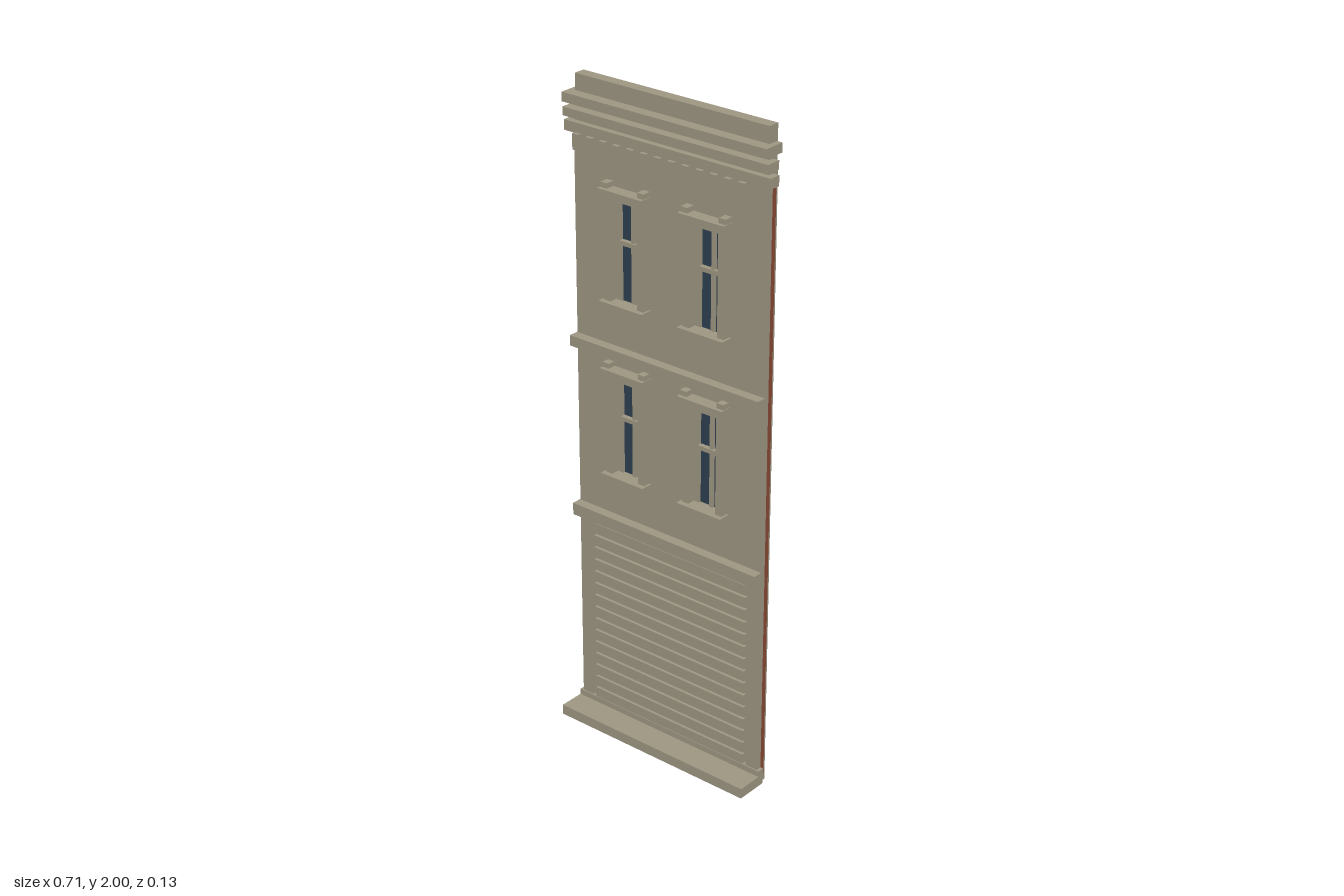
import * as THREE from 'three';

const mat = (name, color) => {
  const m = new THREE.MeshStandardMaterial({ color });
  m.name = name;
  return m;
};

export function createModel() {
  const stone = mat('stone', 0xa09884);
  const glass = mat('glass', 0x2e3f50);
  const brick = mat('brick', 0x8a4a35);
  const black = mat('black backing', 0x222222);
  const grey = mat('grey backing', 0x606060);

  const model = new THREE.Group();
  model.name = 'buildingFacade';

  // Box given by its limits on each axis
  const box = (parent, name, material, x0, x1, y0, y1, z0, z1) => {
    const mesh = new THREE.Mesh(new THREE.BoxGeometry(x1 - x0, y1 - y0, z1 - z0), material);
    mesh.position.set((x0 + x1) / 2, (y0 + y1) / 2, (z0 + z1) / 2);
    mesh.name = name;
    parent.add(mesh);
    return mesh;
  };
  // Box spanning the facade symmetrically
  const band = (name, half, y0, y1, z0, z1) => box(model, name, stone, -half, half, y0, y1, z0, z1);

  const windowX = [-0.14, 0.14];
  const windowY = [1.0, 1.535];

  // Wall with the doorway cut from the bottom and four window openings
  const outline = [[-0.333, 0], [-0.293, 0], [-0.293, 0.685], [0.293, 0.685],
    [0.293, 0], [0.333, 0], [0.333, 1.9], [-0.333, 1.9]];
  const wallShape = new THREE.Shape(outline.map(([x, y]) => new THREE.Vector2(x, y)));
  for (const x of windowX) for (const y of windowY) {
    const hole = [[-0.05, -0.165], [-0.05, 0.165], [0.05, 0.165], [0.05, -0.165]];
    wallShape.holes.push(new THREE.Path(hole.map(([dx, dy]) => new THREE.Vector2(x + dx, y + dy))));
  }
  const wall = new THREE.Mesh(
    new THREE.ExtrudeGeometry(wallShape, { depth: 0.038, bevelEnabled: false }), stone);
  wall.position.z = -0.056;
  wall.name = 'wall';
  model.add(wall);

  // Thin brick strips along both edges
  for (const s of [-1, 1]) {
    const a = s * 0.33, b = s * 0.342;
    box(model, 'brickEdge', brick, Math.min(a, b), Math.max(a, b), 0.03, 1.84, -0.039, -0.036);
  }

  // Doorstep, string courses, parapet and cornice
  band('doorstep', 0.343, 0, 0.032, -0.035, 0.066);
  band('threshold', 0.343, 0.032, 0.05, -0.036, -0.014);
  band('doorLintel', 0.335, 0.668, 0.705, -0.02, 0.012);
  band('stringCourse', 0.335, 1.208, 1.24, -0.02, 0.012);
  band('parapet', 0.33, 1.9, 2, -0.057, -0.022);
  band('corniceTop', 0.348, 1.925, 1.952, -0.053, 0.013);
  band('corniceMiddle', 0.35, 1.884, 1.909, -0.038, 0.008);
  band('corniceBottom', 0.353, 1.84, 1.87, -0.036, 0.0);

  // Dentils under the cornice
  for (let i = 0; i < 13; i++) {
    const x = -0.303 + i * 0.0475;
    box(model, 'dentil', stone, x - 0.011, x + 0.011, 1.796, 1.842, -0.02, 0.011);
  }

  // Roller shutter: slats in front of a grey backing
  const shutter = new THREE.Group();
  shutter.name = 'shutter';
  model.add(shutter);
  box(shutter, 'shutterBacking', grey, -0.283, 0.283, 0.004, 0.664, -0.068, -0.045);
  const slats = 15, pitch = 0.605 / slats;
  for (let i = 0; i < slats; i++) {
    const y = 0.048 + i * pitch;
    box(shutter, 'slat', stone, -0.281, 0.281, y, y + pitch * 0.82, -0.045, -0.016);
    box(shutter, 'slatJoint', stone, -0.281, 0.281, y + pitch * 0.82, y + pitch, -0.045, -0.028);
  }

  // Sash window, built around its own centre
  const makeWindow = () => {
    const g = new THREE.Group();
    g.name = 'window';
    box(g, 'pane', glass, -0.05, 0.05, -0.165, 0.165, -0.05, -0.045);
    box(g, 'backing', black, -0.064, 0.064, -0.168, 0.168, -0.066, -0.052);
    box(g, 'mullion', stone, -0.005, 0.005, -0.165, 0.165, -0.045, -0.034);
    box(g, 'meetingRail', stone, -0.05, 0.05, 0.005, 0.018, -0.045, -0.03);
    for (const s of [-1, 1]) {
      const jamb = box(g, 'jamb', stone, -0.0115, 0.0115, -0.17, 0.17, -0.02, 0.005);
      jamb.position.x = s * 0.0595;
      const sash = box(g, 'sashStile', stone, -0.003, 0.003, -0.165, 0.165, -0.045, -0.02);
      sash.position.x = s * 0.047;
      // Top and bottom rails project past the jambs and end in corner blocks
      const y = s * 0.165;
      box(g, s > 0 ? 'head' : 'sill', stone, -0.078, 0.078, y - 0.012, y + 0.012, -0.02, 0.021);
      for (const t of [-1, 1]) {
        const block = box(g, 'cornerBlock', stone, -0.0115, 0.0115, -0.018, 0.018, -0.02, 0.009);
        block.position.set(t * 0.0645, s * 0.174, block.position.z);
      }
    }
    return g;
  };
  for (const x of windowX) for (const y of windowY) {
    const w = makeWindow();
    w.position.set(x, y, 0);
    model.add(w);
  }

  return model;
}
